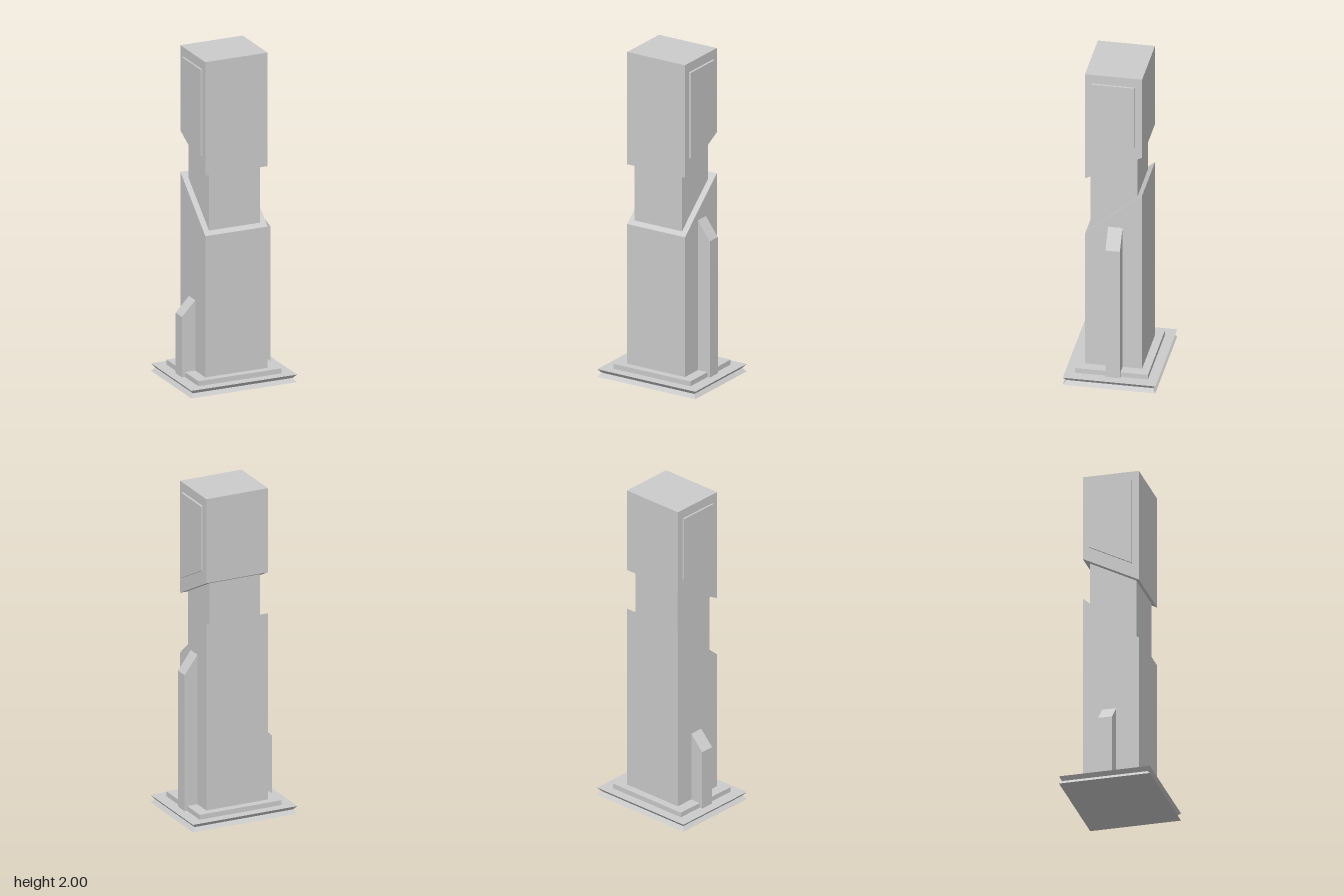
import * as THREE from 'three';

const material = new THREE.MeshStandardMaterial({ color: 0xcccccc, flatShading: true });

function addMesh(group, name, geometry) {
  const mesh = new THREE.Mesh(geometry, material);
  mesh.name = name;
  group.add(mesh);
  return mesh;
}

function extrude(points, depth) {
  const shape = new THREE.Shape(points.map(([a, b]) => new THREE.Vector2(a, b)));
  return new THREE.ExtrudeGeometry(shape, { depth, bevelEnabled: false });
}

// Side profile given as [z, y] corners, extruded from x0 to x1
function sidePrism(points, x0, x1) {
  return extrude(points, x1 - x0).rotateY(-Math.PI / 2).translate(x1, 0, 0);
}

// Front profile given as [x, y] corners, extruded from z0 to z1
function frontPrism(points, z0, z1) {
  return extrude(points, z1 - z0).translate(0, 0, z0);
}

// Block whose edge is pinched in at mid height
function pinchedSlab(width, height, depth, inset) {
  const geometry = new THREE.BoxGeometry(width, height, depth, 1, 2, 1);
  const p = geometry.attributes.position;
  for (let i = 0; i < p.count; i++) {
    if (Math.abs(p.getY(i)) > 1e-6) continue;
    p.setX(i, p.getX(i) - Math.sign(p.getX(i)) * inset);
    p.setZ(i, p.getZ(i) - Math.sign(p.getZ(i)) * inset);
  }
  const flat = geometry.toNonIndexed();
  flat.computeVertexNormals();
  return flat.translate(0, height / 2, 0);
}

export function createModel() {
  const model = new THREE.Group();
  model.name = 'monument';

  // Stepped base
  addMesh(model, 'base', pinchedSlab(0.675, 0.046, 0.544, 0.019));
  addMesh(model, 'plinth', new THREE.BoxGeometry(0.53, 0.03, 0.427)).position.set(0, 0.061, -0.001);

  // Lower shaft with a slanted top
  addMesh(model, 'lowerShaft', sidePrism(
    [[-0.168, 0.06], [0.168, 0.06], [0.168, 0.938], [-0.168, 1.227]], -0.199, 0.199));

  // Narrow neck, its ends hidden inside shaft and head
  addMesh(model, 'neck', sidePrism(
    [[-0.134, 1.15], [0.143, 0.92], [0.143, 1.36], [-0.134, 1.5]], -0.164, 0.162));

  // Head block with a slanted underside
  addMesh(model, 'head', sidePrism(
    [[-0.168, 1.48], [0.168, 1.307], [0.168, 2], [-0.168, 2]], -0.199, 0.199));

  // Raised panels on both sides of the head
  const panel = [[-0.126, 1.546], [0.128, 1.415], [0.128, 1.943], [-0.126, 1.943]];
  addMesh(model, 'leftPanel', sidePrism(panel, 0.19, 0.213));
  addMesh(model, 'rightPanel', sidePrism(panel, -0.21, -0.19));

  // Buttresses, tall on the left and short on the right
  addMesh(model, 'leftButtress', frontPrism(
    [[0.19, 0.046], [0.281, 0.046], [0.281, 0.887], [0.199, 1], [0.19, 1]], -0.053, 0.032));
  addMesh(model, 'rightButtress', frontPrism(
    [[-0.19, 0.046], [-0.19, 0.505], [-0.199, 0.505], [-0.284, 0.415], [-0.284, 0.046]], -0.053, 0.032));

  return model;
}
